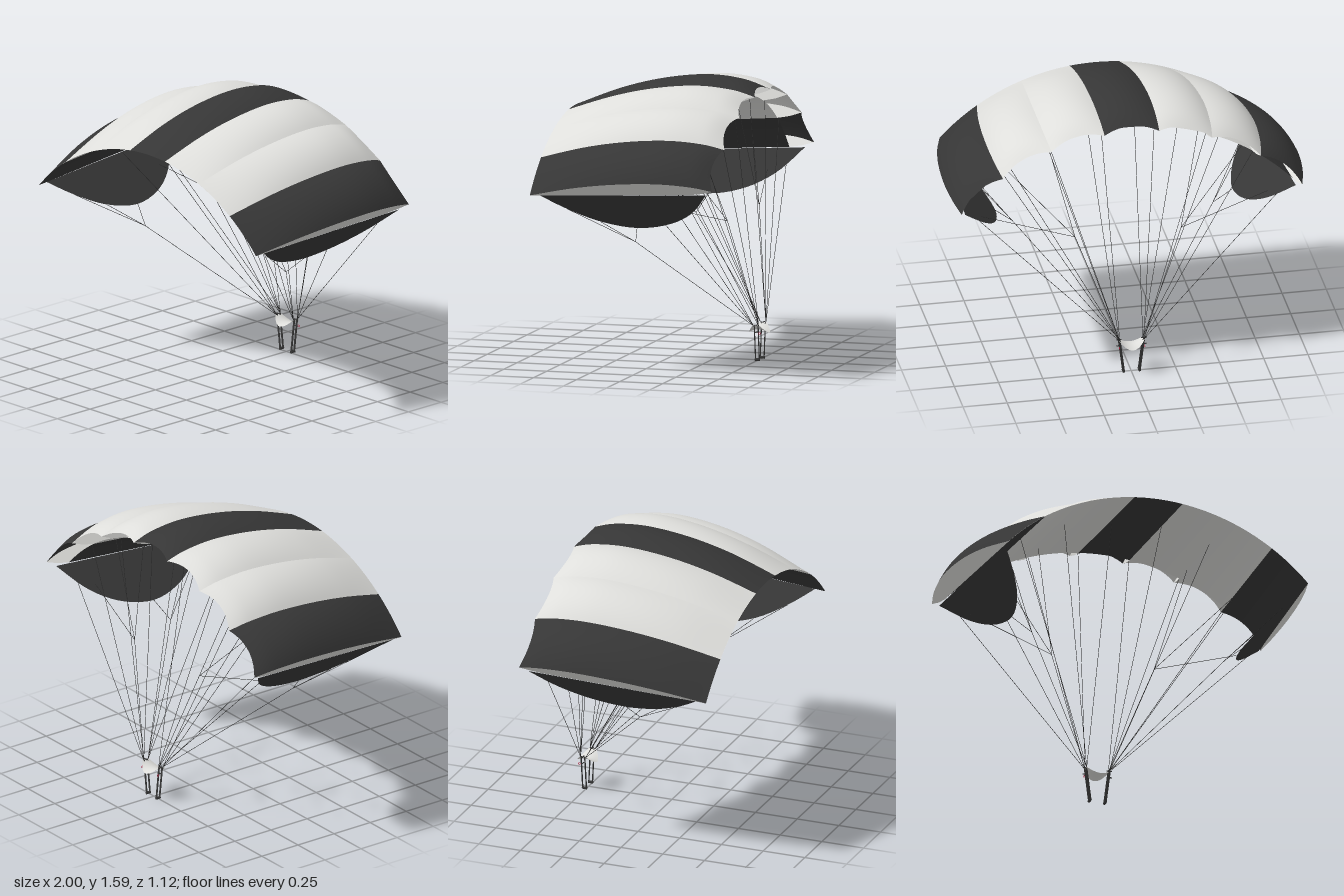
import * as THREE from 'three';

const mat = (name, color) => {
  const m = new THREE.MeshStandardMaterial({ color, side: THREE.DoubleSide });
  m.name = name;
  return m;
};
const V2 = (x, y) => new THREE.Vector2(x, y);
const V3 = (x, y, z) => new THREE.Vector3(x, y, z);

// The canopy bends around an axis along z at this height
const AXIS_Y = 0.2, CELLS = 7, SPAN = THREE.MathUtils.degToRad(95), STEP = SPAN / CELLS;
const place = (a, r, z) => V3(r * Math.sin(a), AXIS_Y + r * Math.cos(a), z);

// Aerofoil as (z, radius), from the trailing edge forwards
const topCurve = new THREE.SplineCurve([V2(0.56, 1.188), V2(0.3, 1.276), V2(0.05, 1.332),
  V2(-0.2, 1.357), V2(-0.4, 1.342), V2(-0.525, 1.306)]);
const bottomCurve = new THREE.SplineCurve([V2(0.56, 1.187), V2(0.2, 1.217), V2(-0.15, 1.246), V2(-0.39, 1.266)]);

// Grid surface from a rule fn(u, v), u and v in 0..1
function sheet(fn, nu, nv) {
  const pos = [], index = [];
  for (let i = 0; i <= nu; i++) for (let j = 0; j <= nv; j++) pos.push(...fn(i / nu, j / nv).toArray());
  for (let i = 0; i < nu; i++) for (let j = 0; j < nv; j++) {
    const a = i * (nv + 1) + j, b = a + nv + 1;
    index.push(a, b, a + 1, b, b + 1, a + 1);
  }
  const g = new THREE.BufferGeometry();
  g.setAttribute('position', new THREE.Float32BufferAttribute(pos, 3));
  g.setIndex(index);
  g.computeVertexNormals();
  return g;
}

// Flat outline in (z, radius) stood up in the radial plane at angle a
function radialPanel(points, a) {
  const g = new THREE.ShapeGeometry(new THREE.Shape(points));
  const p = g.attributes.position;
  for (let i = 0; i < p.count; i++) p.setXYZ(i, ...place(a, p.getY(i), p.getX(i)).toArray());
  g.computeVertexNormals();
  return g;
}

export function createModel() {
  const model = new THREE.Group();
  model.name = 'parachute';
  const black = mat('black cloth', 0x363636);
  const white = mat('white cloth', 0xdededb);
  const cordGrey = mat('dark cord', 0x2a2a2a);
  const red = mat('red toggle', 0xc02040);

  const add = (name, geometry, material, parent = model) => {
    const m = new THREE.Mesh(geometry, material);
    m.name = name;
    parent.add(m);
    return m;
  };
  const group = (name) => {
    const g = new THREE.Group();
    g.name = name;
    model.add(g);
    return g;
  };

  // Inflated cells: bulging top skin and plain bottom skin, open at the nose
  const canopy = group('canopy');
  for (let c = 0; c < CELLS; c++) {
    const a0 = -SPAN / 2 + c * STEP;
    const cloth = c === 0 || c === 3 || c === 6 ? black : white;
    add('topSkin', sheet((u, v) => {
      const p = topCurve.getPoint(v), puff = 4 * u * (1 - u);
      const thickness = (p.y - 1.188) / 0.169;
      const z = p.x + 0.03 * puff * Math.pow(v, 4);
      return place(a0 + u * STEP, p.y + 0.03 * puff * thickness, z);
    }, 14, 30), cloth, canopy);
    add('bottomSkin', sheet((u, v) => {
      const p = bottomCurve.getPoint(v);
      return place(a0 + (1 - u) * STEP, p.y, p.x);
    }, 8, 12), cloth, canopy);
  }

  // Ribs between the cells and at both tips
  const ribOutline = [...topCurve.getPoints(30), V2(-0.46, 1.281), ...bottomCurve.getPoints(12).reverse().slice(0, -1)];
  for (let i = 0; i <= CELLS; i++) add('rib', radialPanel(ribOutline, -SPAN / 2 + i * STEP), white, canopy);

  // Stabiliser fins hanging from the tips
  const finCurve = new THREE.SplineCurve([V2(0.5, 1.192), V2(0.37, 1.07), V2(0.2, 0.958), V2(0, 0.91),
    V2(-0.2, 0.962), V2(-0.36, 1.085), V2(-0.48, 1.268)]);
  for (const s of [-1, 1]) add('stabiliserFin', radialPanel(finCurve.getPoints(28), s * SPAN / 2), black, canopy);

  // Suspension lines
  const lines = group('suspensionLines');
  const cord = (from, to, material = cordGrey, name = 'line', r = 0.0014) => {
    const d = to.clone().sub(from);
    const m = add(name, new THREE.CylinderGeometry(r, r, d.length(), 5), material, lines);
    m.position.copy(from).addScaledVector(d, 0.5);
    m.quaternion.setFromUnitVectors(V3(0, 1, 0), d.normalize());
  };
  for (const s of [-1, 1]) {
    const front = V3(s * 0.068, 0.2, -0.52), rear = V3(s * 0.068, 0.2, -0.49);
    for (let i = 0; i < 3; i++) {
      const a = s * (i + 0.5) * STEP;
      cord(front, place(a, 1.266, -0.4));
      cord(rear, place(a, 1.218, 0.18));
    }
    // Tip lines to the fin edge
    const tip = s * SPAN / 2;
    cord(front, place(tip, 1.14, -0.4));
    const tipKnot = place(tip, 0.77, 0.04);
    cord(rear, tipKnot);
    for (const [r, z] of [[0.91, 0.0], [0.955, 0.2], [1.07, 0.37]]) cord(tipKnot, place(tip, r, z));
    // Branching lines from a knot under the nose
    const knot = V3(s * 0.3, 0.82, -0.41);
    cord(front, knot);
    for (const i of [1.5, 2.5]) cord(knot, place(s * i * STEP, 1.252, -0.24));
    cord(knot, place(tip, 1.1, -0.3));
  }

  // Slider: small cloth saddle spread between the risers
  add('slider', sheet((u, v) => {
    const x = 2 * u - 1, w = 2 * v - 1, k = 1 - x * x;
    return V3(0.072 * x, 0.202 - 0.03 * k - 0.015 * k * w * w, -0.505 + w * (0.02 + 0.037 * k));
  }, 12, 8), white);

  // Risers with end links and steering toggles
  const risers = group('risers');
  for (const s of [-1, 1]) {
    for (const z of [-0.495, -0.517]) {
      const strap = add('riserStrap', new THREE.BoxGeometry(0.012, 0.195, 0.003), black, risers);
      strap.position.set(s * 0.057, 0.107, z);
      strap.rotation.z = -s * 0.125;
    }
    const link = add('riserLink', new THREE.CylinderGeometry(0.008, 0.008, 0.028, 8), black, risers);
    link.rotation.x = Math.PI / 2;
    link.position.set(s * 0.045, 0.008, -0.506);
    for (const y of [0.165, 0.203]) {
      const tab = add('riserTab', new THREE.BoxGeometry(0.03, 0.004, 0.006), black, risers);
      tab.position.set(s * 0.07, y, -0.506);
    }
    const toggle = add('steeringToggle', new THREE.TorusGeometry(0.006, 0.0015, 5, 10), red, risers);
    toggle.rotation.y = Math.PI / 2;
    toggle.position.set(s * 0.072, 0.16, -0.526);
  }
  return model;
}
